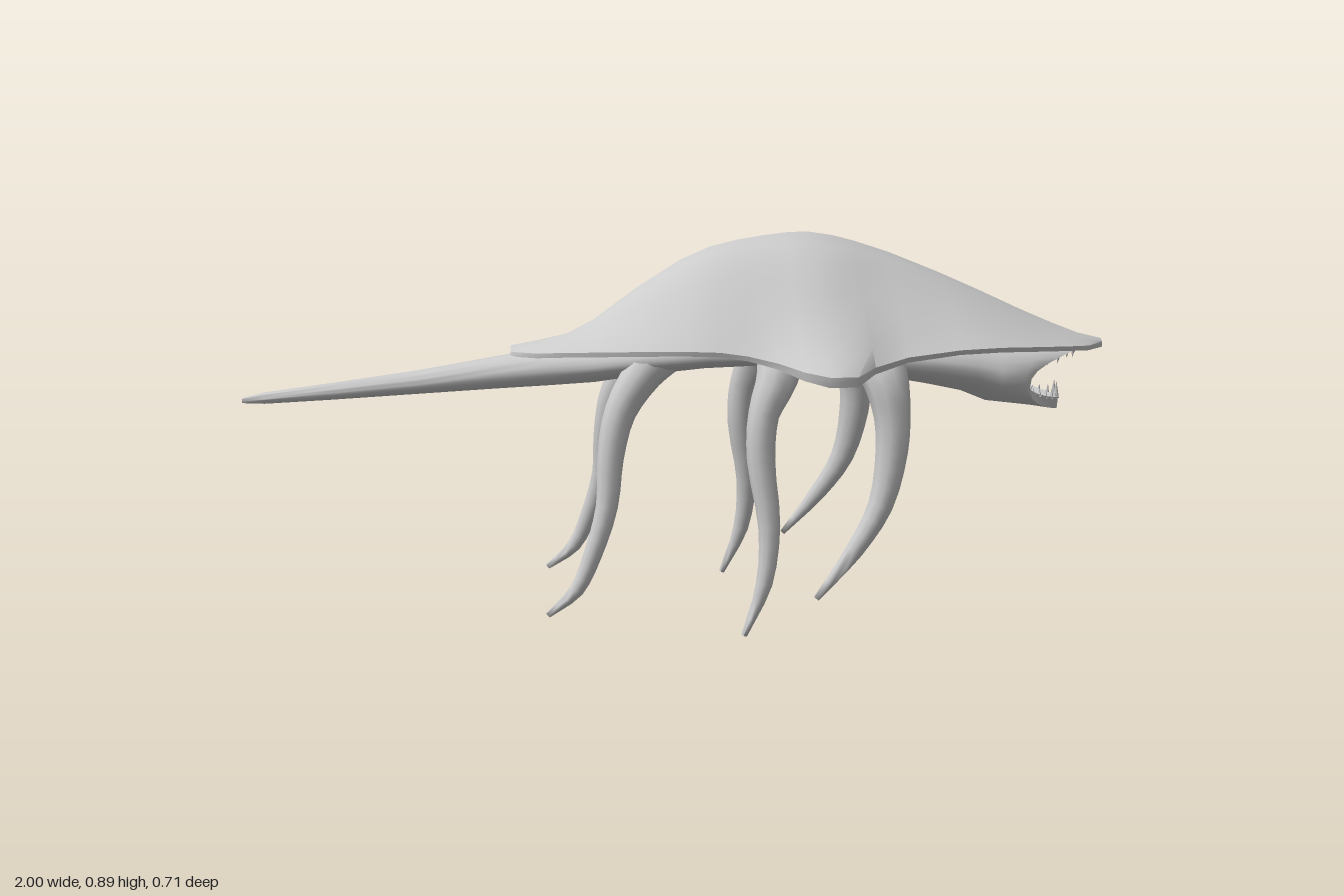
import * as THREE from 'three';
import { toCreasedNormals } from 'three/addons/utils/BufferGeometryUtils.js';

const grey = new THREE.MeshStandardMaterial({ color: 0xcccccc });
grey.name = 'grey skin';

// Skin a list of closed rings (arrays of [x, y, z]) and close both ends.
function loft(rings, crease) {
  const centre = (r) => [0, 1, 2].map((k) => r.reduce((s, p) => s + p[k], 0) / r.length);
  const n = rings[0].length;
  const first = centre(rings[0]), last = centre(rings[rings.length - 1]);
  const all = [Array(n).fill(first), ...rings, Array(n).fill(last)];
  const index = [];
  for (let i = 0; i < all.length - 1; i++) {
    for (let j = 0; j < n; j++) {
      const a = i * n + j, b = i * n + ((j + 1) % n);
      if (i < all.length - 2) index.push(a, a + n, b + n);
      else index.push(a, a + n, b);
      if (i > 0 && i < all.length - 2) index.push(a, b + n, b);
    }
  }
  const geo = new THREE.BufferGeometry();
  geo.setAttribute('position', new THREE.Float32BufferAttribute(all.flat(2), 3));
  geo.setIndex(index);
  return toCreasedNormals(geo, crease);
}

function add(group, name, geo) {
  const mesh = new THREE.Mesh(geo, grey);
  mesh.name = name;
  group.add(mesh);
  return mesh;
}

// Shell stations: x, half width, ridge height, rim height
const SHELL = [
  [-0.39, 0.012, 0.635, 0.622], [-0.33, 0.075, 0.645, 0.628], [-0.26, 0.105, 0.66, 0.634],
  [-0.2, 0.13, 0.692, 0.638], [-0.1, 0.17, 0.765, 0.645], [0, 0.21, 0.828, 0.651],
  [0.07, 0.222, 0.858, 0.65], [0.13, 0.235, 0.872, 0.643], [0.19, 0.262, 0.882, 0.632],
  [0.24, 0.318, 0.888, 0.622], [0.29, 0.357, 0.89, 0.617], [0.35, 0.354, 0.881, 0.617],
  [0.4, 0.285, 0.868, 0.624], [0.48, 0.247, 0.842, 0.638], [0.6, 0.234, 0.794, 0.65],
  [0.7, 0.21, 0.75, 0.65], [0.8, 0.168, 0.704, 0.643], [0.88, 0.125, 0.67, 0.636],
  [0.94, 0.085, 0.647, 0.63], [0.997, 0.012, 0.633, 0.625],
];
const DOME = [1, 0.94, 0.83, 0.69, 0.53, 0.36, 0.18, 0];
const FLARE = [1, 0.92, 0.78, 0.57, 0.39, 0.24, 0.11, 0];

function shellRing([x, w, ridge, rim]) {
  const flare = THREE.MathUtils.clamp((w - 0.235) / 0.12, 0, 1);
  const thick = 0.011 + 0.012 * flare;
  const top = [], under = [];
  for (let k = -7; k <= 7; k++) {
    const f = THREE.MathUtils.lerp(DOME[Math.abs(k)], FLARE[Math.abs(k)], flare);
    top.push([x, rim + (ridge - rim) * f, (-k / 7) * w]);
    under.unshift([x, rim - thick + (ridge - rim) * f * 0.15, (-k / 7) * w * 0.985]);
  }
  return [...top, ...under];
}

// Mouth opening: the corners sit further back than the lips.
const mouthX = (s) => 0.79 + (s > 0 ? 0.15 : 0.11) * Math.abs(s) ** 2.5;

// Body ring with full shoulders and a keel-like underside; pull moves it to the mouth edge.
function bodyRing([x, w, top, bottom, pull = 0, keel = 1.4]) {
  const ring = [];
  for (let j = 0; j < 28; j++) {
    const a = (j / 28) * Math.PI * 2, c = Math.cos(a), s = Math.sin(a);
    const z = w * Math.sign(c) * Math.abs(c) ** (s < 0 ? keel : 1 / keel);
    ring.push([THREE.MathUtils.lerp(x, mouthX(s), pull), (top + bottom) / 2 + ((top - bottom) / 2) * s, z]);
  }
  return ring;
}

// Tapering limb through points [x, y, z, radius]
function limb(points, side) {
  const curve = new THREE.CatmullRomCurve3(points.map((p) => new THREE.Vector3(p[0], p[1], p[2] * side)));
  const steps = (points.length - 1) * 3;
  const rings = [];
  for (let i = 0; i <= steps; i++) {
    const t = i / steps, f = t * (points.length - 1), k = Math.min(Math.floor(f), points.length - 2);
    const r = THREE.MathUtils.lerp(points[k][3], points[k + 1][3], f - k);
    const p = curve.getPoint(t), T = curve.getTangent(t);
    const B = new THREE.Vector3(0, 0, 1).cross(T).normalize();
    const N = T.clone().cross(B);
    rings.push(Array.from({ length: 10 }, (_, j) => {
      const a = (j / 10) * Math.PI * 2;
      return p.clone().addScaledVector(B, r * Math.cos(a)).addScaledVector(N, -r * 0.9 * Math.sin(a)).toArray();
    }));
  }
  return loft(rings, 1.5);
}

const LEGS = {
  FrontLeg: [[0.41, 0.645, 0.13, 0.06], [0.44, 0.585, 0.194, 0.052], [0.455, 0.5, 0.213, 0.041], [0.455, 0.42, 0.22, 0.037],
    [0.43, 0.3, 0.233, 0.029], [0.37, 0.2, 0.247, 0.021], [0.285, 0.095, 0.26, 0.007]],
  MiddleLeg: [[0.22, 0.645, 0.1, 0.06], [0.205, 0.58, 0.155, 0.048], [0.172, 0.5, 0.18, 0.035], [0.166, 0.4, 0.19, 0.032],
    [0.184, 0.25, 0.207, 0.025], [0.172, 0.12, 0.222, 0.019], [0.126, 0.003, 0.234, 0.007]],
  BackLeg: [[-0.02, 0.645, 0.06, 0.055], [-0.09, 0.585, 0.1, 0.045], [-0.145, 0.5, 0.122, 0.036], [-0.168, 0.4, 0.137, 0.03],
    [-0.178, 0.29, 0.152, 0.025], [-0.212, 0.18, 0.166, 0.021], [-0.25, 0.1, 0.174, 0.017], [-0.315, 0.045, 0.18, 0.007]],
};

export function createModel() {
  const group = new THREE.Group();
  group.name = 'shelledCreature';

  add(group, 'shell', loft(SHELL.map(shellRing), 0.85));

  // Tail, trunk, head and mouth cavity in one skin: x, half width, top, bottom, pull, keel
  const body = [
    [-1, 0.004, 0.522, 0.51, 0, 1], [-0.95, 0.014, 0.534, 0.508, 0, 1], [-0.8, 0.021, 0.553, 0.515, 0, 1],
    [-0.6, 0.032, 0.58, 0.526, 0, 1], [-0.42, 0.046, 0.61, 0.536, 0, 1], [-0.3, 0.068, 0.63, 0.542, 0, 1.1],
    [-0.2, 0.095, 0.645, 0.548, 0, 1.25], [-0.08, 0.135, 0.665, 0.565], [0.05, 0.16, 0.675, 0.58],
    [0.2, 0.18, 0.675, 0.588], [0.33, 0.19, 0.675, 0.583], [0.45, 0.19, 0.67, 0.558],
    [0.56, 0.176, 0.665, 0.537], [0.66, 0.162, 0.655, 0.515], [0.72, 0.154, 0.645, 0.49],
    [0.76, 0.149, 0.635, 0.477, 0.5], [0.79, 0.135, 0.624, 0.467, 1],
    [0.79, 0.115, 0.614, 0.497, 1, 1], [0.76, 0.112, 0.612, 0.5, 0.5, 1],
    [0.72, 0.105, 0.608, 0.506, 0, 1], [0.66, 0.08, 0.595, 0.52, 0, 1], [0.62, 0.03, 0.57, 0.545, 0, 1],
  ];
  add(group, 'body', loft(body.map(bodyRing), 1));

  for (const side of [1, -1]) {
    for (const [name, points] of Object.entries(LEGS)) {
      add(group, (side > 0 ? 'near' : 'far') + name, limb(points, side));
    }
  }

  // Teeth around the mouth edge, longest in the middle of the lower jaw
  const teeth = new THREE.Group();
  teeth.name = 'teeth';
  group.add(teeth);
  const up = new THREE.Vector3(0, 1, 0);
  for (let i = 0; i < 36; i++) {
    const a = ((i + 0.5) / 36) * Math.PI * 2, c = Math.cos(a), s = Math.sin(a);
    const length = s < -0.97 ? 0.042 : i % 2 ? 0.026 : 0.02;
    const geo = new THREE.ConeGeometry(length * 0.16 + 0.001, length, 6);
    geo.translate(0, length / 2 - 0.005, 0);
    const tooth = add(teeth, 'tooth', geo);
    tooth.position.set(mouthX(s) - 0.006, 0.5555 + 0.0585 * s, 0.115 * c);
    tooth.quaternion.setFromUnitVectors(up, new THREE.Vector3(Math.abs(s) < 0.5 ? 0.5 : 0, -s, -c * 0.4).normalize());
  }
  return group;
}
